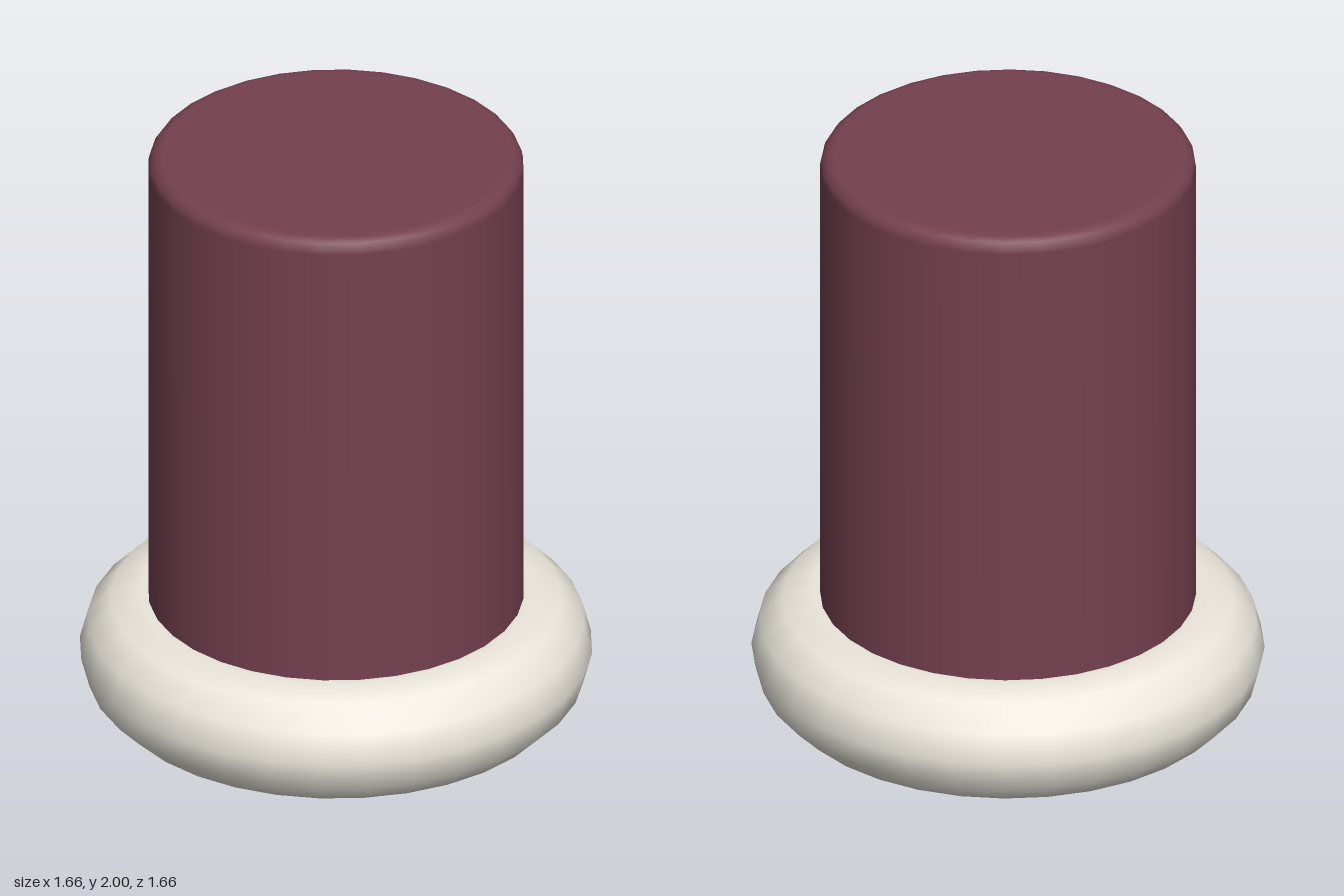
import * as THREE from 'three';

const SIDES = 32;

export function createModel() {
  const model = new THREE.Group();

  // Solid cylinder with a rounded top edge, its base sitting at the middle of the ring
  const radius = 0.607, bevel = 0.05, base = 0.2, top = 2;
  const profile = [
    new THREE.Vector2(0, base),
    new THREE.Vector2(radius, base),
    new THREE.Vector2(radius, base), // doubled to keep the lower edge sharp
  ];
  for (let i = 0; i <= 4; i++) {
    const a = (i / 4) * Math.PI / 2;
    profile.push(new THREE.Vector2(
      radius - bevel + bevel * Math.cos(a),
      top - bevel + bevel * Math.sin(a)));
  }
  profile.push(new THREE.Vector2(0, top));
  const body = new THREE.Mesh(
    new THREE.LatheGeometry(profile, SIDES),
    new THREE.MeshStandardMaterial({ color: 0x74404f }));
  body.name = 'cylinderBody';
  model.add(body);

  // Rounded ring around the foot
  const ringGeometry = new THREE.TorusGeometry(0.628, 0.2, 12, SIDES);
  ringGeometry.rotateX(Math.PI / 2);
  const ring = new THREE.Mesh(
    ringGeometry,
    new THREE.MeshStandardMaterial({ color: 0xebe7dd }));
  ring.name = 'baseRing';
  ring.position.y = 0.2;
  model.add(ring);

  return model;
}
